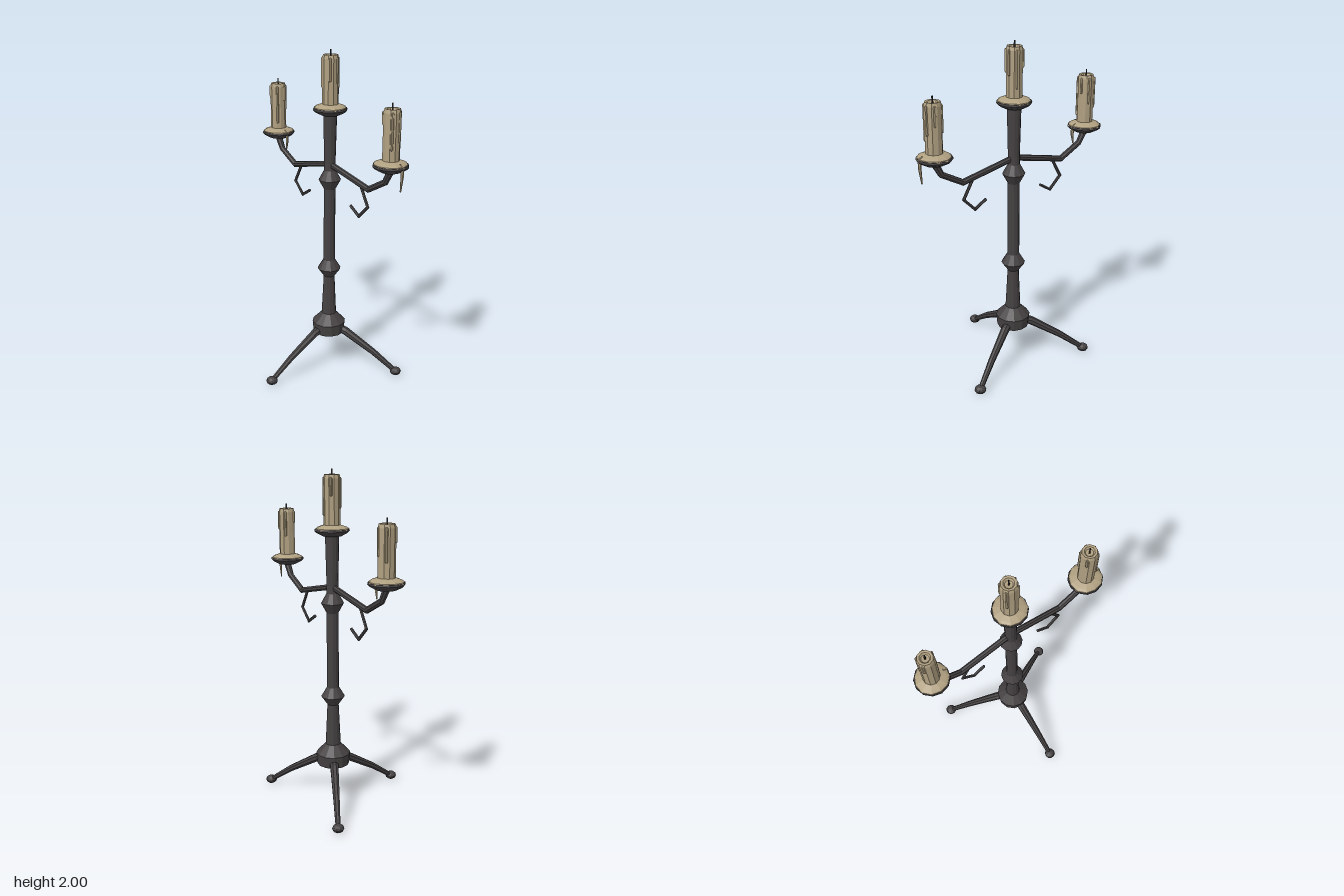
import * as THREE from 'three';

const iron = new THREE.MeshStandardMaterial({ color: 0x454142, flatShading: true, name: 'dark iron' });
const wax = new THREE.MeshStandardMaterial({ color: 0xb0a081, flatShading: true, name: 'candle wax' });
const wick = new THREE.MeshStandardMaterial({ color: 0x262222, flatShading: true, name: 'burnt wick' });
const AXIS_Z = -0.115;

function add(parent, name, geometry, material) {
  const mesh = new THREE.Mesh(geometry, material);
  mesh.name = name;
  parent.add(mesh);
  return mesh;
}

function lathe(points, sides) {
  return new THREE.LatheGeometry(points.map(([r, y]) => new THREE.Vector2(r, y)), sides);
}

// Tapered bar through a list of [x, y, z, radius], mitred at every bend.
function bar(points, sides) {
  const p = points.map(([x, y, z]) => new THREE.Vector3(x, y, z));
  const plane = p[p.length - 1].clone().sub(p[0]).cross(new THREE.Vector3(0, 1, 0)).normalize();
  const verts = [], index = [];
  p.forEach((c, i) => {
    const a = p[Math.max(i - 1, 0)], b = p[Math.min(i + 1, p.length - 1)];
    const inDir = c.clone().sub(a).normalize(), outDir = b.clone().sub(c).normalize();
    const dir = inDir.clone().add(outDir).normalize();
    const mitre = i && i < p.length - 1 ? 1 / Math.max(dir.dot(outDir), 0.5) : 1;
    const side = plane.clone().cross(dir).normalize();
    const r = points[i][3];
    for (let k = 0; k < sides; k++) {
      const t = ((k + 0.5) / sides) * Math.PI * 2;
      const v = c.clone().addScaledVector(side, Math.cos(t) * r * mitre).addScaledVector(plane, Math.sin(t) * r);
      verts.push(v.x, v.y, v.z);
    }
  });
  for (let i = 0; i < p.length - 1; i++) {
    for (let k = 0; k < sides; k++) {
      const a = i * sides + k, b = i * sides + ((k + 1) % sides);
      index.push(a, b, a + sides, b, b + sides, a + sides);
    }
  }
  const last = (p.length - 1) * sides;
  for (let k = 1; k < sides - 1; k++) index.push(0, k + 1, k, last, last + k, last + k + 1);
  const g = new THREE.BufferGeometry();
  g.setAttribute('position', new THREE.Float32BufferAttribute(verts, 3));
  g.setIndex(index);
  g.computeVertexNormals();
  return g;
}

// Dish, wax pool, candle, drips and wick; the origin is at the dish rim.
function makeCandle(name, dripLengths, hangLength) {
  const g = new THREE.Group();
  g.name = name;
  add(g, 'dish', lathe([[0, -0.039], [0.055, -0.039], [0.09, -0.021], [0.101, -0.009], [0.099, 0.002], [0, 0.004]], 12), iron);

  const pool = lathe([[0.097, -0.003], [0.095, 0.006], [0.08, 0.015], [0.05, 0.025], [0, 0.025]], 11);
  const pos = pool.attributes.position;
  for (let i = 0; i < pos.count; i++) {
    const s = 1 + 0.025 * Math.sin(3 * Math.atan2(pos.getZ(i), pos.getX(i)));
    pos.setX(i, pos.getX(i) * s);
    pos.setZ(i, pos.getZ(i) * s);
  }
  add(g, 'waxPool', pool, wax);

  // Candle body with a hollow melted top
  add(g, 'candle', lathe([[0.048, 0.02], [0.048, 0.16], [0.049, 0.285], [0.043, 0.306], [0.03, 0.304], [0.022, 0.292], [0, 0.29]], 10), wax);

  const angles = [-1.29, -0.28, 0.74, 2.45, -2.45];
  dripLengths.forEach((len, i) => {
    const drip = add(g, 'waxDrip', new THREE.CapsuleGeometry(0.008, len, 2, 6), wax);
    drip.position.set(Math.cos(angles[i]) * 0.047, 0.284 - len / 2, Math.sin(angles[i]) * 0.047);
  });

  if (hangLength) {
    add(g, 'hangingDrip', bar([[0.07, 0.014, 0, 0.008], [0.09, 0.002, 0, 0.01],
      [0.09, -0.05, 0, 0.009], [0.081, -hangLength, 0, 0.004]], 6), wax);
  }
  add(g, 'wick', new THREE.CylinderGeometry(0.005, 0.006, 0.05, 4), wick).position.y = 0.31;
  return g;
}

export function createModel() {
  const model = new THREE.Group();
  model.name = 'candelabra';
  const stand = new THREE.Group();
  stand.name = 'stand';
  stand.position.z = AXIS_Z;
  model.add(stand);

  // Column with hub and two collars
  add(stand, 'column', lathe([
    [0, 0.23], [0.097, 0.23], [0.104, 0.3], [0.046, 0.36], [0.034, 0.612],
    [0.071, 0.664], [0.036, 0.722], [0.035, 1.178], [0.067, 1.236], [0.035, 1.294],
    [0.034, 1.34], [0.041, 1.64], [0, 1.64],
  ], 12), iron);

  // Three legs with rounded feet
  for (let i = 0; i < 3; i++) {
    const leg = new THREE.Group();
    leg.name = 'leg';
    leg.rotation.y = (i * Math.PI * 2) / 3;
    add(leg, 'legBar', bar([[0, 0.265, 0.05, 0.028], [0, 0.242, 0.115, 0.026],
      [0, 0.132, 0.3, 0.02], [0, 0.032, 0.44, 0.015]], 8), iron);
    const foot = add(leg, 'foot', new THREE.SphereGeometry(0.035, 10, 6), iron);
    foot.scale.y = 0.72;
    foot.position.set(0, 0.026, 0.45);
    stand.add(leg);
  }

  // Arms and hooks on both sides
  for (const s of [1, -1]) {
    const label = s > 0 ? 'left' : 'right';
    add(stand, label + 'Arm', bar([[0, 1.332, 0, 0.018], [s * 0.342, 1.256, 0, 0.018],
      [s * 0.476, 1.33, 0, 0.018], [s * 0.518, 1.405, 0, 0.021]], 8), iron);
    add(stand, label + 'Hook', bar([[s * 0.275, 1.268, 0, 0.009], [s * 0.34, 1.15, 0, 0.009],
      [s * 0.266, 1.075, 0, 0.009], [s * 0.192, 1.121, 0, 0.009]], 6), iron);
  }

  // Candles
  const middle = makeCandle('middleCandle', [0.2, 0.13, 0.12, 0.16, 0.09], 0);
  middle.position.y = 1.665;
  const left = makeCandle('leftCandle', [0.1, 0.15, 0.19, 0.06, 0.14], 0.135);
  left.position.set(0.515, 1.438, 0);
  const right = makeCandle('rightCandle', [0.14, 0.08, 0.22, 0.07, 0.17], 0.104);
  right.position.set(-0.515, 1.438, 0);
  stand.add(middle, left, right);
  return model;
}
